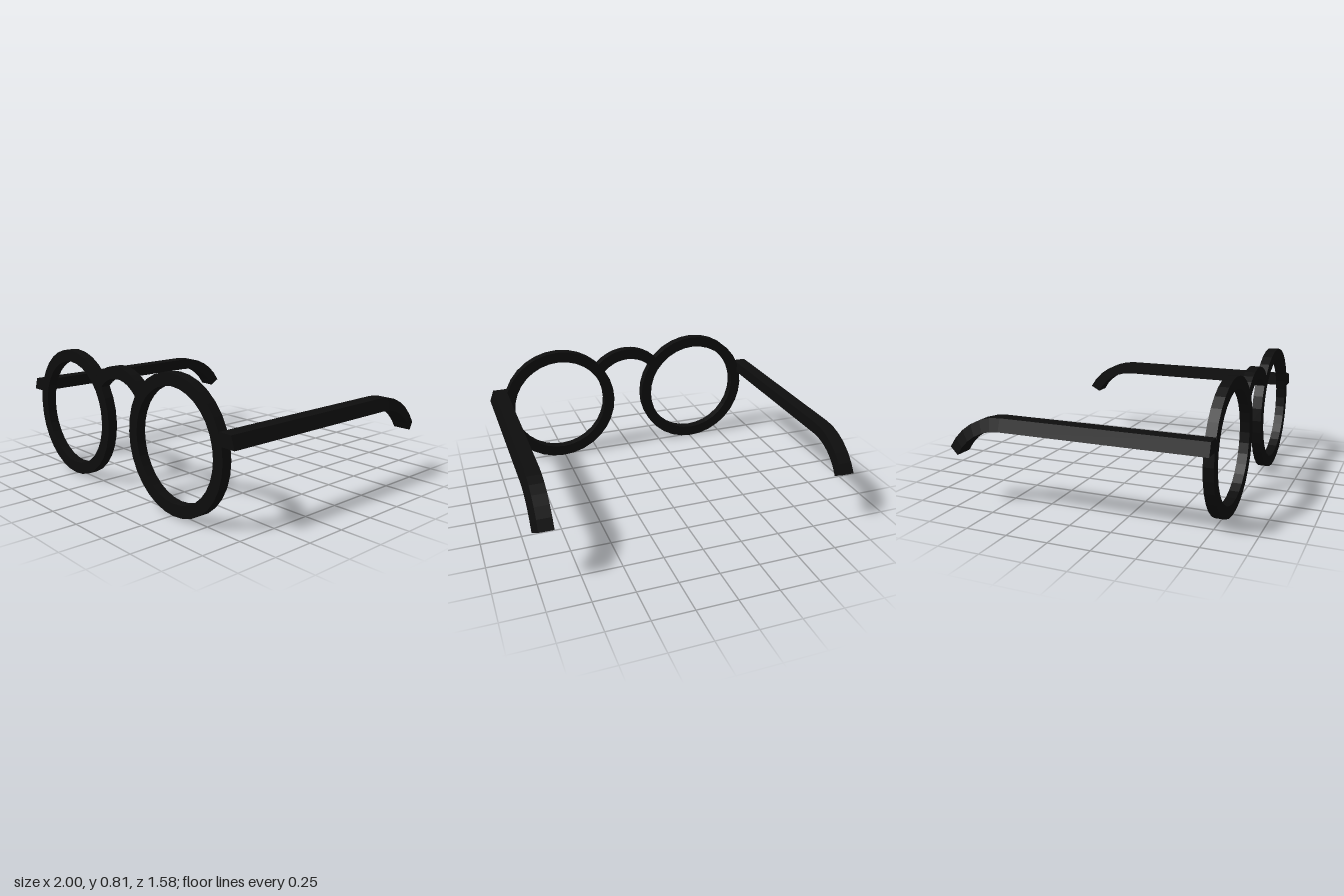
import * as THREE from 'three';

const black = new THREE.MeshStandardMaterial({ color: 0x0d0d0d });
black.name = 'black frame';

const FRONT = 0.79, DEPTH = 0.06;

function addMesh(group, name, geometry) {
  const mesh = new THREE.Mesh(geometry, black);
  mesh.name = name;
  group.add(mesh);
  return mesh;
}

// Flat plate with its front face at z = FRONT
function plate(shape, curveSegments) {
  return new THREE.ExtrudeGeometry(shape, { depth: DEPTH, bevelEnabled: false, curveSegments })
    .translate(0, 0, FRONT - DEPTH);
}

function rimGeometry(x) {
  const shape = new THREE.Shape().absarc(x, 0.403, 0.403, 0, Math.PI * 2);
  shape.holes.push(new THREE.Path().absarc(x, 0.403, 0.33, 0, Math.PI * 2, true));
  return plate(shape, 16);
}

function bridgeGeometry() {
  const half = THREE.MathUtils.degToRad(53);
  const a = Math.PI / 2 - half, b = Math.PI / 2 + half;
  const shape = new THREE.Shape();
  shape.absarc(0, 0.458, 0.312, a, b, false);
  shape.absarc(0, 0.458, 0.238, b, a, true);
  return plate(shape, 6);
}

// Temple arm: a four-cornered section, narrower on top, swept back and bent down at the ear
function templeGeometry(side) {
  const top = 0.56, bottom = 0.485, bendZ = -0.44, radius = 0.32, steps = 6;
  const thick = top - bottom, centreY = bottom - radius;
  const rings = [[FRONT, bottom, FRONT, top]]; // z, y of the lower and upper edge
  for (let i = 0; i <= steps; i++) {
    const t = THREE.MathUtils.degToRad(61 * i / steps);
    const s = Math.sin(t), c = Math.cos(t), r = radius + thick;
    rings.push([bendZ - radius * s, centreY + radius * c, bendZ - r * s, centreY + r * c]);
  }
  const positions = [], index = [];
  for (const [z0, y0, z1, y1] of rings) {
    positions.push(side, y0, z0, side * 0.973, y1, z1, side * 0.885, y1, z1, side * 0.885, y0, z0);
  }
  const tri = (a, b, c) => (side > 0 ? index.push(a, b, c) : index.push(a, c, b));
  for (let i = 0; i < rings.length - 1; i++) {
    for (let j = 0; j < 4; j++) {
      const a = i * 4 + j, b = i * 4 + (j + 1) % 4;
      tri(a, a + 4, b);
      tri(b, a + 4, b + 4);
    }
  }
  // End caps
  const e = (rings.length - 1) * 4;
  tri(0, 1, 2); tri(0, 2, 3);
  tri(e, e + 2, e + 1); tri(e, e + 3, e + 2);
  const indexed = new THREE.BufferGeometry();
  indexed.setAttribute('position', new THREE.Float32BufferAttribute(positions, 3));
  indexed.setIndex(index);
  const geometry = indexed.toNonIndexed();
  geometry.computeVertexNormals();
  return geometry;
}

export function createModel() {
  const group = new THREE.Group();
  group.name = 'roundGlasses';
  for (const [name, side] of [['left', 1], ['right', -1]]) {
    addMesh(group, name + 'Rim', rimGeometry(side * 0.51));
    addMesh(group, name + 'Temple', templeGeometry(side));
  }
  addMesh(group, 'bridge', bridgeGeometry());
  return group;
}
